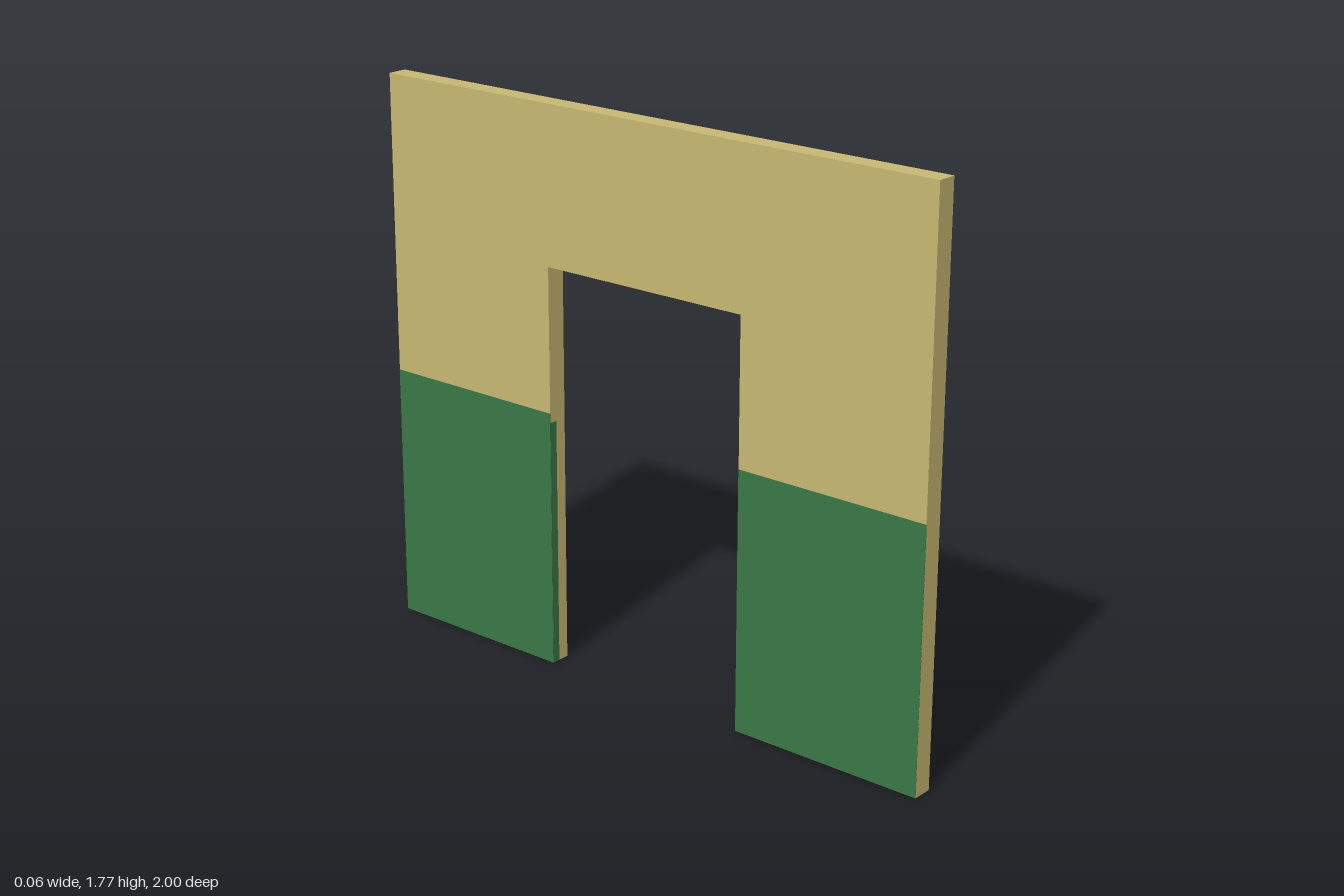
import * as THREE from 'three';

export function createModel() {
  const group = new THREE.Group();
  const plaster = new THREE.MeshStandardMaterial({ color: 0xc8b872 });
  plaster.name = 'sandPlaster';
  const green = new THREE.MeshStandardMaterial({ color: 0x3a7747 });
  green.name = 'greenPaint';

  const height = 1.766, thickness = 0.064;
  const doorHalf = 0.36, doorTop = 1.277;
  const paintTop = 0.82, jambTop = 0.79, jambWidth = 0.026;
  const skin = 0.002; // thickness of paint plates

  // Wall with a doorway, outlined in (z, y) and extruded across x
  const outline = new THREE.Shape([
    [-1, 0], [-doorHalf, 0], [-doorHalf, doorTop], [doorHalf, doorTop],
    [doorHalf, 0], [1, 0], [1, height], [-1, height],
  ].map(([z, y]) => new THREE.Vector2(z, y)));
  const wallGeometry = new THREE.ExtrudeGeometry(outline, { depth: thickness, bevelEnabled: false });
  wallGeometry.translate(0, 0, -thickness / 2);
  wallGeometry.rotateY(-Math.PI / 2);
  const wall = new THREE.Mesh(wallGeometry, plaster);
  wall.name = 'doorwayWall';
  group.add(wall);

  const addPaint = (name, w, h, d, x, z) => {
    const mesh = new THREE.Mesh(new THREE.BoxGeometry(w, h, d), green);
    mesh.name = name;
    mesh.position.set(x, h / 2, z);
    group.add(mesh);
  };

  // Painted dado on one face and wrapping part way into the door jambs
  for (const side of [1, -1]) {
    const label = side > 0 ? 'Front' : 'Back';
    addPaint('dado' + label, skin, paintTop, 1 - doorHalf,
      -thickness / 2, side * (1 + doorHalf) / 2);
    addPaint('jambPaint' + label, jambWidth, jambTop, skin,
      -thickness / 2 + jambWidth / 2, side * doorHalf);
  }
  return group;
}
